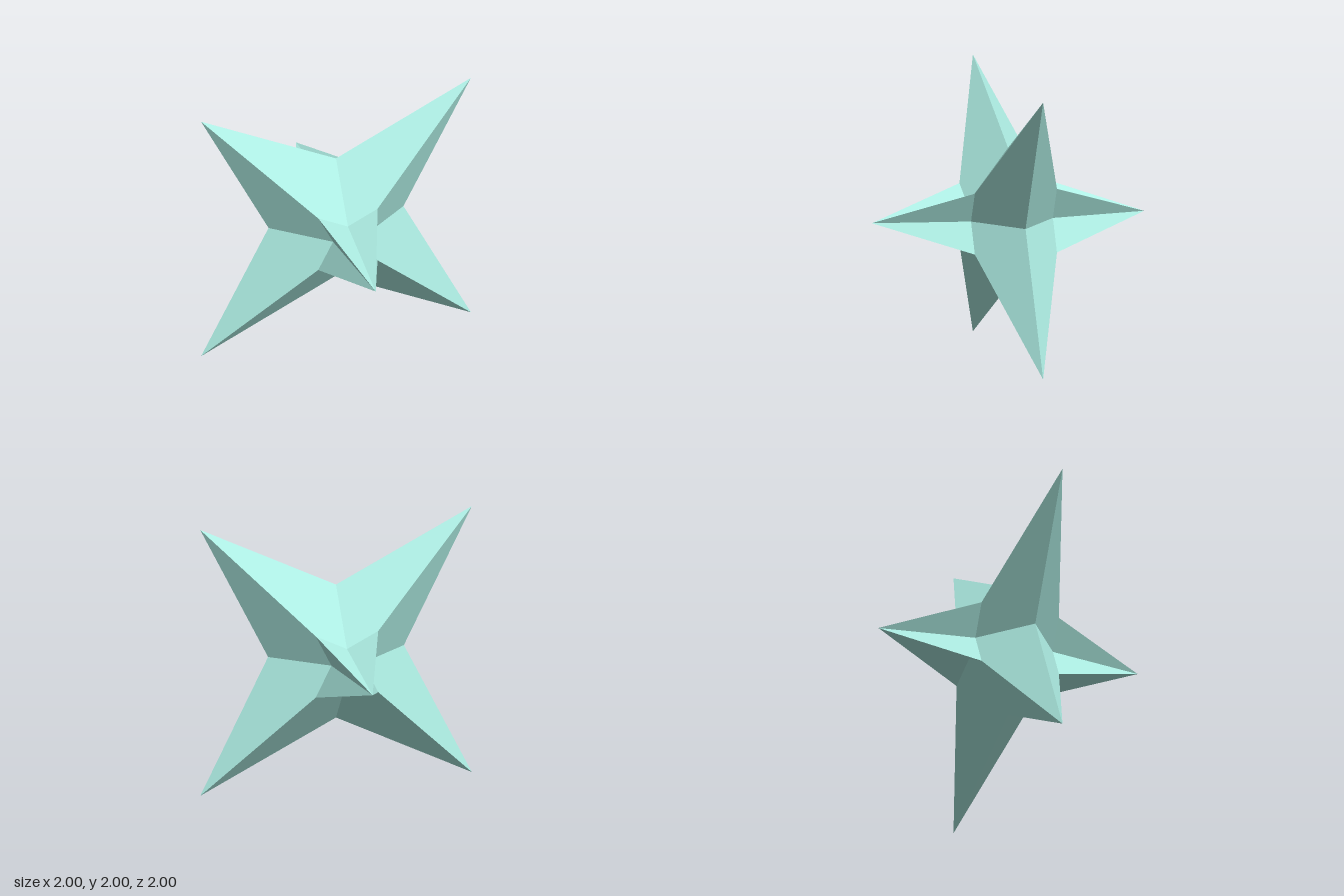
import * as THREE from 'three';

const material = new THREE.MeshStandardMaterial({ color: 0xaeeee4, flatShading: true });

// Four-pointed star ring in the xy plane: long diagonal tips, short notches between
function starRing(scale, z) {
  return Array.from({ length: 8 }, (_, i) => {
    const angle = (i * Math.PI) / 4;
    const radius = scale * (i % 2 ? Math.SQRT2 : 0.5);
    return new THREE.Vector3(radius * Math.cos(angle), radius * Math.sin(angle), z);
  });
}

// Flat-faced skin between two rings; flip reverses the winding for the back side
function skin(name, outer, inner, flip) {
  const points = [];
  const tri = (a, b, c) => points.push(a, ...(flip ? [c, b] : [b, c]));
  for (let i = 0; i < 8; i++) {
    const j = (i + 1) % 8;
    tri(outer[i], outer[j], inner[j]);
    if (!inner[i].equals(inner[j])) tri(outer[i], inner[j], inner[i]);
  }
  const geometry = new THREE.BufferGeometry().setFromPoints(points);
  geometry.computeVertexNormals();
  const mesh = new THREE.Mesh(geometry, material);
  mesh.name = name;
  return mesh;
}

export function createModel() {
  const group = new THREE.Group();
  group.name = 'spikedStar';

  for (const [side, sign, neckScale] of [['front', 1, 0.22], ['back', -1, 0.23]]) {
    const rim = starRing(1, 0);
    const neck = starRing(neckScale, sign * 0.3);
    const tip = Array.from({ length: 8 }, () => new THREE.Vector3(0, 0, sign));
    // Sloping half of the star, then the spike rising from its centre
    group.add(skin(side + 'StarHalf', rim, neck, sign < 0));
    group.add(skin(side + 'Spike', neck, tip, sign < 0));
  }

  // Lower tips rest on the ground plane
  group.children.forEach((mesh) => { mesh.position.y = 1; });
  return group;
}
